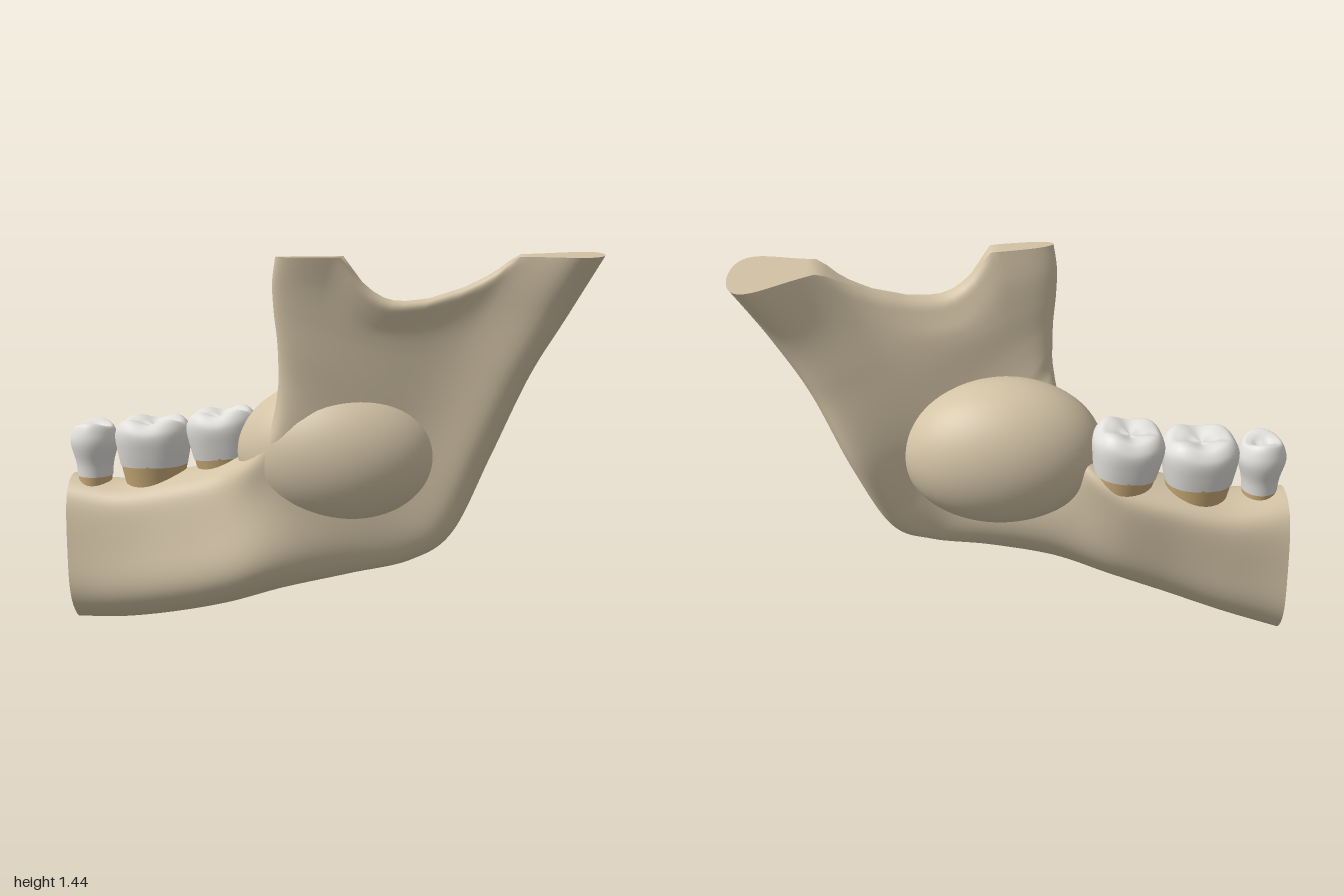
import * as THREE from 'three';
import { mergeVertices } from 'three/addons/utils/BufferGeometryUtils.js';

const bone = new THREE.MeshStandardMaterial({ color: 0xd3c3a6, name: 'bone' });
const enamel = new THREE.MeshStandardMaterial({ color: 0xe2e0dc, name: 'enamel' });
const rootTan = new THREE.MeshStandardMaterial({ color: 0xcdae7a, name: 'rootTan' });

// Stations along the jaw: inner edge x,y, outer edge x,y,
// then z centre and half thickness at the inner edge, middle and outer edge
const STATIONS = [
  [-1, 0.58, -1, 0, -0.115, -0.13, -0.145, 0.1, 0.14, 0.075],
  [-0.8, 0.562, -0.8, 0.03, -0.105, -0.09, -0.06, 0.14, 0.16, 0.08],
  [-0.6, 0.6, -0.58, 0.08, -0.09, -0.045, 0.02, 0.15, 0.165, 0.08],
  [-0.4, 0.655, -0.36, 0.14, -0.06, -0.005, 0.075, 0.165, 0.165, 0.08],
  [-0.27, 0.725, -0.15, 0.21, 0.02, 0.05, 0.1, 0.2, 0.147, 0.075],
  [-0.185, 0.84, 0.1, 0.27, 0.14, 0.085, 0.09, 0.095, 0.115, 0.075],
  [-0.155, 0.97, 0.32, 0.32, 0.185, 0.1, 0.06, 0.045, 0.08, 0.085],
  [-0.152, 1.06, 0.47, 0.42, 0.195, 0.1, 0.015, 0.04, 0.06, 0.14],
  [-0.155, 1.15, 0.605, 0.7, 0.205, 0.1, -0.035, 0.04, 0.05, 0.2],
  [-0.165, 1.25, 0.74, 1.0, 0.215, 0.1, -0.02, 0.04, 0.045, 0.18],
  [-0.168, 1.35, 0.87, 1.22, 0.225, 0.105, -0.015, 0.04, 0.042, 0.21],
  [-0.155, 1.44, 1, 1.44, 0.235, 0.125, -0.03, 0.04, 0.04, 0.38],
];
const LAST = STATIONS.length - 1;
// Depth of the notch between the two upper processes, by position across
const NOTCH = [[0, 0], [0.2, 0], [0.26, 0.09], [0.31, 0.14], [0.37, 0.16], [0.46, 0.15],
  [0.57, 0.11], [0.66, 0.06], [0.73, 0], [1, 0]];

function notchDepth(v) {
  let i = 0;
  while (i < NOTCH.length - 2 && NOTCH[i + 1][0] < v) i++;
  const [a, b] = [NOTCH[i], NOTCH[i + 1]];
  return THREE.MathUtils.mapLinear(v, a[0], b[0], a[1], b[1]);
}

// Smooth interpolation of a whole station row
function stationAt(s) {
  const i = Math.min(Math.floor(s), LAST - 1), t = s - i;
  const row = (k) => STATIONS[THREE.MathUtils.clamp(k, 0, LAST)];
  const [p, a, b, n] = [row(i - 1), row(i), row(i + 1), row(i + 2)];
  return a.map((_, k) => a[k] + 0.5 * t * (b[k] - p[k]
    + t * (2 * p[k] - 5 * a[k] + 4 * b[k] - n[k] + t * (3 * (a[k] - b[k]) + n[k] - p[k]))));
}

const quad = (a, m, b, v) => a * (2 * v - 1) * (v - 1) + m * 4 * v * (1 - v) + b * v * (2 * v - 1);
// Half thickness: even in the middle, changing towards each edge
const thickness = (a, m, b, v) => m + ((v < 0.5 ? a : b) - m) * Math.abs(1 - 2 * v) ** 3;

const ACROSS = 44, ALONG = 165, RING = ACROSS * 2;

// Closed cross-section: down the front face, back up the rear face
function ringAt(s) {
  const [ix, iy, ox, oy, zi, zm, zo, ti, tm, to] = stationAt(s);
  const sag = THREE.MathUtils.smoothstep(s, LAST - 2.6, LAST);
  const rim = Math.max(0, (s - LAST + 0.5) / 0.5) ** 3;
  const ring = [];
  for (let k = 0; k < RING; k++) {
    const i = k <= ACROSS ? k : RING - k;
    const v = (1 - Math.cos((Math.PI * i) / ACROSS)) / 2;
    const dip = notchDepth(v);
    const round = Math.sqrt(Math.max(0, 1 - Math.abs(1 - 2 * v) ** (v < 0.5 ? 9 : 4.3)));
    const pinch = 1 - 0.75 * rim * Math.min(1, dip / 0.1);
    const half = thickness(ti, tm, to, v) * round * pinch * (k <= ACROSS ? 1 : -1);
    ring.push(ix + (ox - ix) * v, iy + (oy - iy) * v - sag * dip, quad(zi, zm, zo, v) + half);
  }
  return ring;
}

function geometryFrom(positions, index) {
  const g = new THREE.BufferGeometry();
  g.setAttribute('position', new THREE.Float32BufferAttribute(positions, 3));
  g.setIndex(index);
  g.computeVertexNormals();
  return g;
}

function jawSurface() {
  const pos = [], index = [];
  for (let u = 0; u <= ALONG; u++) {
    pos.push(...ringAt((u / ALONG) * LAST));
    if (u === ALONG) break;
    for (let k = 0; k < RING; k++) {
      const a = u * RING + k, c = u * RING + ((k + 1) % RING);
      index.push(a, c, a + RING, c, c + RING, a + RING);
    }
  }
  return geometryFrom(pos, index);
}

// Cut face closing one end of the jaw
function endCap(s, flip) {
  const index = [];
  for (let i = 0; i < ACROSS; i++) {
    const f = i, g = i + 1, b = (RING - i) % RING, h = RING - i - 1;
    if (flip) index.push(f, b, g, g, b, h);
    else index.push(f, g, b, g, h, b);
  }
  return geometryFrom(ringAt(s), index);
}

function addMesh(parent, name, geometry, material) {
  const m = new THREE.Mesh(geometry, material);
  m.name = name;
  parent.add(m);
  return m;
}

// Crown: turned profile, slightly squared in plan, with low cusps and a shallow basin
function crownGeometry({ rx, rz, h, cusps, neck }) {
  const profile = new THREE.SplineCurve([[neck, 0], [neck + 0.06, 0.25], [1, 0.58], [0.96, 0.78],
    [0.78, 0.94], [0.5, 0.93], [0.25, 0.86], [0.001, 0.83]].map(([x, y]) => new THREE.Vector2(x, y)));
  let g = new THREE.LatheGeometry(profile.getPoints(32), 48);
  g.deleteAttribute('uv');
  g.deleteAttribute('normal');
  g = mergeVertices(g, 1e-4);
  const p = g.attributes.position;
  for (let i = 0; i < p.count; i++) {
    const x = p.getX(i), y = p.getY(i), z = p.getZ(i);
    const r = Math.hypot(x, z), a = Math.atan2(z, x);
    const wave = -Math.cos(cusps * a);
    const square = 1 + (cusps === 4 ? 0.03 * wave : 0);
    const lift = 0.045 * wave * Math.min(1, r * 1.6) * THREE.MathUtils.smoothstep(y, 0.4, 0.9);
    p.setXYZ(i, x * square * rx, (y + lift) * h, z * square * rz);
  }
  g.computeVertexNormals();
  return g;
}

function tooth(name, t) {
  const group = new THREE.Group();
  group.name = name;
  addMesh(group, 'crown', crownGeometry(t), enamel);
  const root = addMesh(group, 'root', new THREE.CylinderGeometry(t.neck * 0.98, t.neck * 0.8, 0.11, 40), rootTan);
  root.scale.set(t.rx, 1, t.rz);
  root.position.y = -0.05;
  group.position.set(t.x, t.y, t.z);
  group.rotation.z = t.tilt;
  return group;
}

export function createModel() {
  const model = new THREE.Group();
  model.name = 'jawSection';

  // Jaw body and rising branch
  addMesh(model, 'jawBone', jawSurface(), bone);
  addMesh(model, 'bodyCutFace', endCap(0, true), bone);
  addMesh(model, 'upperCutFace', endCap(LAST, false), bone);

  // Rounded swelling passing through the branch
  const swelling = addMesh(model, 'swelling', new THREE.SphereGeometry(1, 64, 40), bone);
  swelling.scale.set(0.375, 0.28, 0.245);
  swelling.position.set(0.045, 0.71, 0.025);

  // Teeth
  model.add(
    tooth('premolar', { x: -0.908, y: 0.582, z: -0.09, rx: 0.09, rz: 0.1, h: 0.21, cusps: 2, neck: 0.74, tilt: 0 }),
    tooth('firstMolar', { x: -0.675, y: 0.632, z: -0.09, rx: 0.148, rz: 0.14, h: 0.178, cusps: 4, neck: 0.88, tilt: 0.02 }),
    tooth('secondMolar', { x: -0.4, y: 0.67, z: -0.09, rx: 0.138, rz: 0.138, h: 0.178, cusps: 4, neck: 0.88, tilt: 0.1 }),
  );
  return model;
}
